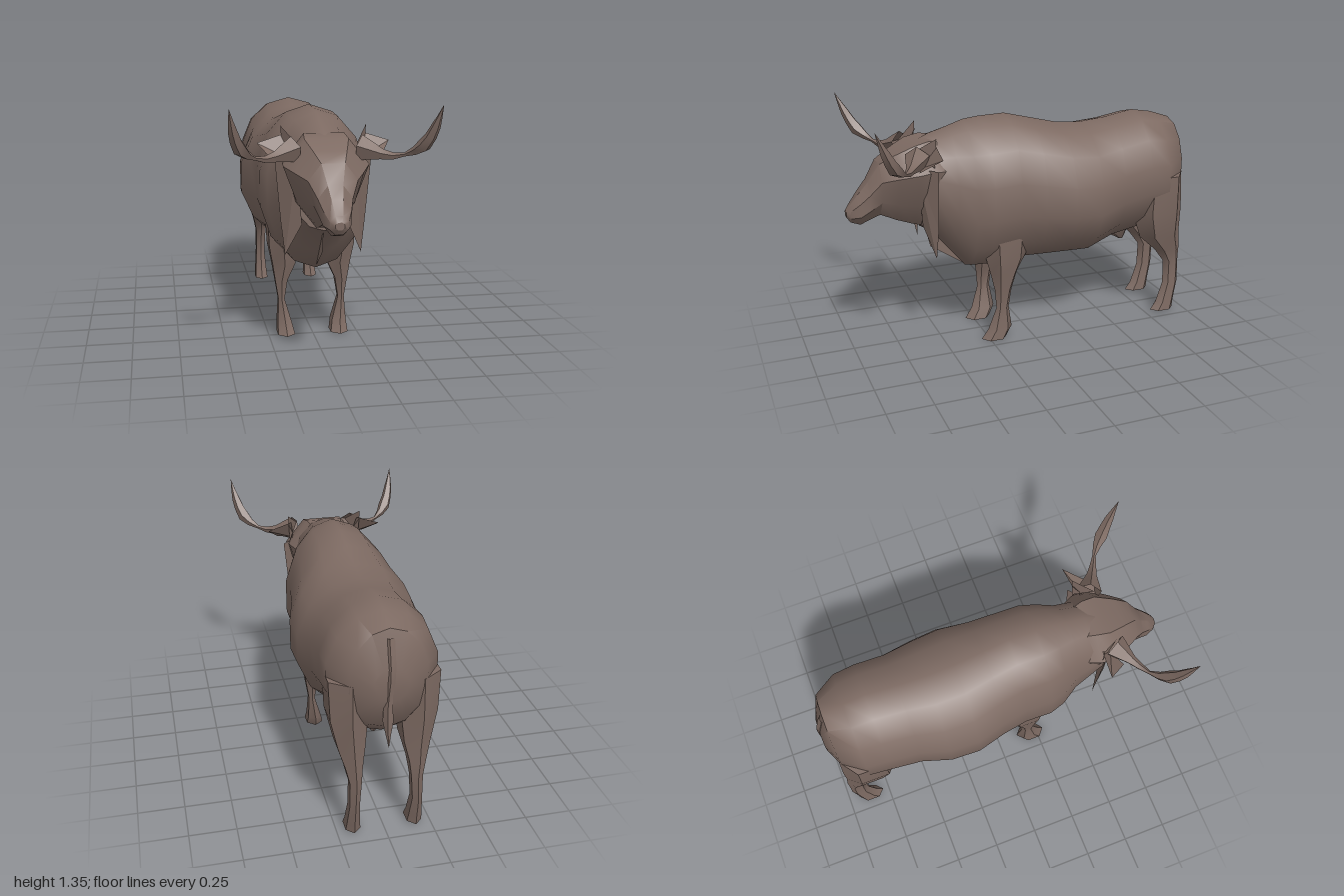
import * as THREE from 'three';
import { toCreasedNormals } from 'three/addons/utils/BufferGeometryUtils.js';

const hide = new THREE.MeshStandardMaterial({ color: 0x7d6a62, side: THREE.DoubleSide });
hide.name = 'brown hide';

// Skins a list of rings (arrays of Vector3) and closes both ends.
function skin(rings, crease) {
  const n = rings[0].length, pos = [], idx = [];
  for (const ring of rings) for (const p of ring) pos.push(p.x, p.y, p.z);
  for (let i = 0; i < rings.length - 1; i++) {
    for (let j = 0; j < n; j++) {
      const a = i * n + j, b = i * n + (j + 1) % n;
      idx.push(a, b, b + n, a, b + n, a + n);
    }
  }
  const last = (rings.length - 1) * n;
  for (let j = 1; j < n - 1; j++) {
    idx.push(0, j + 1, j, last, last + j, last + j + 1);
  }
  const g = new THREE.BufferGeometry();
  g.setAttribute('position', new THREE.Float32BufferAttribute(pos, 3));
  g.setIndex(idx);
  return toCreasedNormals(g, crease);
}

function ringOf(sides, point) {
  return Array.from({ length: sides }, (_, j) => {
    const a = ((j + 0.5) / sides) * Math.PI * 2;
    return point(Math.cos(a), Math.sin(a));
  });
}

// Rows along +z: [z, bottom, top, half width, extra width at the top]
function trunk(rows, sides, crease) {
  return skin(rows.map(([z, lo, hi, w, flare = 0]) => ringOf(sides, (c, s) =>
    new THREE.Vector3(c * w * (1 + flare * s), (lo + hi) / 2 + s * (hi - lo) / 2, z))), crease);
}

// Rows going down: [y, x, z, x radius, z radius]
function limb(rows, side, sides = 6) {
  return skin(rows.map(([y, x, z, rx, rz]) => ringOf(sides, (c, s) =>
    new THREE.Vector3(side * x + c * rx, y, z + s * rz))), 0.7);
}

// Tube along points whose thickness follows the list of radii
function taperedTube(points, radii, sides = 5) {
  const path = new THREE.CatmullRomCurve3(points.map(p => new THREE.Vector3(...p)));
  const steps = points.length - 1;
  const g = new THREE.TubeGeometry(path, steps * 2, 1, sides);
  const pos = g.attributes.position, v = new THREE.Vector3();
  for (let i = 0; i < pos.count; i++) {
    const t = Math.floor(i / (sides + 1)) / (steps * 2);
    const k = Math.min(Math.floor(t * steps), steps - 1);
    const r = THREE.MathUtils.lerp(radii[k], radii[k + 1], t * steps - k);
    const c = path.getPointAt(t);
    v.fromBufferAttribute(pos, i).sub(c).multiplyScalar(r).add(c);
    pos.setXYZ(i, v.x, v.y, v.z);
  }
  return toCreasedNormals(g, 0.7);
}

// Thin sheet fanned from its first corner
function sheet(points) {
  const g = new THREE.BufferGeometry();
  const pos = [];
  for (let i = 1; i < points.length - 1; i++) pos.push(...points[0], ...points[i], ...points[i + 1]);
  g.setAttribute('position', new THREE.Float32BufferAttribute(pos, 3));
  g.computeVertexNormals();
  return g;
}

export function createModel() {
  const bull = new THREE.Group();
  bull.name = 'bull';
  const add = (name, geometry) => {
    const mesh = new THREE.Mesh(geometry, hide);
    mesh.name = name;
    bull.add(mesh);
  };

  // Barrel from rump to neck
  add('body', trunk([
    [-0.98, 0.80, 0.98, 0.09],
    [-0.93, 0.63, 1.17, 0.20],
    [-0.81, 0.54, 1.21, 0.29],
    [-0.69, 0.52, 1.23, 0.30],
    [-0.52, 0.49, 1.20, 0.31],
    [-0.36, 0.43, 1.185, 0.35],
    [-0.20, 0.435, 1.20, 0.36],
    [-0.04, 0.43, 1.24, 0.32],
    [0.10, 0.43, 1.275, 0.30],
    [0.25, 0.41, 1.27, 0.30],
    [0.34, 0.41, 1.26, 0.27],
    [0.43, 0.52, 1.23, 0.22],
    [0.53, 0.64, 1.20, 0.20],
    [0.60, 0.68, 1.17, 0.18],
  ], 14, 0.9));

  // Wedge-shaped head narrowing to the muzzle
  add('head', trunk([
    [0.48, 0.66, 1.19, 0.18, 0.2],
    [0.56, 0.67, 1.20, 0.20, 0.4],
    [0.64, 0.69, 1.18, 0.20, 0.5],
    [0.74, 0.73, 1.13, 0.16, 0.4],
    [0.82, 0.77, 1.08, 0.12, 0.3],
    [0.88, 0.75, 0.98, 0.09, 0.1],
    [0.93, 0.73, 0.92, 0.075],
    [0.98, 0.75, 0.85, 0.05],
    [1.00, 0.78, 0.82, 0.025],
  ], 8, 0.6));

  for (const s of [1, -1]) {
    const side = s > 0 ? 'left' : 'right';

    add(side + 'FrontLeg', limb([
      [0.66, 0.16, 0.15, 0.10, 0.14],
      [0.50, 0.165, 0.15, 0.085, 0.12],
      [0.40, 0.155, 0.16, 0.075, 0.08],
      [0.30, 0.17, 0.17, 0.04, 0.05],
      [0.19, 0.17, 0.175, 0.02, 0.037],
      [0.06, 0.155, 0.185, 0.045, 0.07],
      [0.00, 0.15, 0.22, 0.055, 0.075],
    ], s));

    add(side + 'HindLeg', limb([
      [0.88, 0.18, -0.79, 0.12, 0.15],
      [0.66, 0.18, -0.79, 0.11, 0.16],
      [0.50, 0.17, -0.82, 0.08, 0.13],
      [0.40, 0.165, -0.88, 0.05, 0.08],
      [0.32, 0.16, -0.91, 0.035, 0.05],
      [0.18, 0.165, -0.91, 0.03, 0.05],
      [0.06, 0.165, -0.88, 0.04, 0.06],
      [0.01, 0.165, -0.86, 0.045, 0.075],
    ], s));

    // Horn sweeping outward, then up and forward
    add(side + 'Horn', taperedTube(
      [[0.17, 1.11, 0.64], [0.32, 1.08, 0.73], [0.39, 1.10, 0.77],
        [0.45, 1.15, 0.83], [0.485, 1.24, 0.88], [0.507, 1.35, 0.93]]
        .map(([x, y, z]) => [s * x, y, z]),
      [0.07, 0.028, 0.01, 0.036, 0.024, 0.001]));

    // Ragged ear and poll hair
    add(side + 'Ear', sheet([[s * 0.34, 1.135, 0.55], [s * 0.20, 1.18, 0.55],
      [s * 0.18, 1.06, 0.62], [s * 0.27, 1.06, 0.66]]));
    add(side + 'PollTuft', sheet([[s * 0.22, 1.22, 0.55], [s * 0.15, 1.14, 0.66], [s * 0.21, 1.06, 0.56]]));

    // Loose skin hanging behind the cheek
    add(side + 'CheekFold', sheet([[s * 0.15, 1.05, 0.64], [s * 0.25, 1.05, 0.55],
      [s * 0.22, 0.72, 0.55], [s * 0.20, 0.55, 0.56], [s * 0.12, 0.72, 0.61]]));
  }

  add('dewlap', sheet([[0, 0.72, 0.58], [0, 0.64, 0.56], [0, 0.55, 0.54], [0, 0.41, 0.33], [0, 0.6, 0.38]]));
  add('sheath', limb([
    [0.56, 0, -0.60, 0.09, 0.12],
    [0.49, 0, -0.62, 0.05, 0.07],
    [0.44, 0, -0.65, 0.012, 0.015],
  ], 1));
  add('tail', taperedTube(
    [[0, 1.12, -0.93], [0, 0.95, -0.97], [0.01, 0.78, -0.965], [0.01, 0.66, -0.97], [0.01, 0.55, -0.99]],
    [0.025, 0.025, 0.02, 0.028, 0.001]));

  return bull;
}
